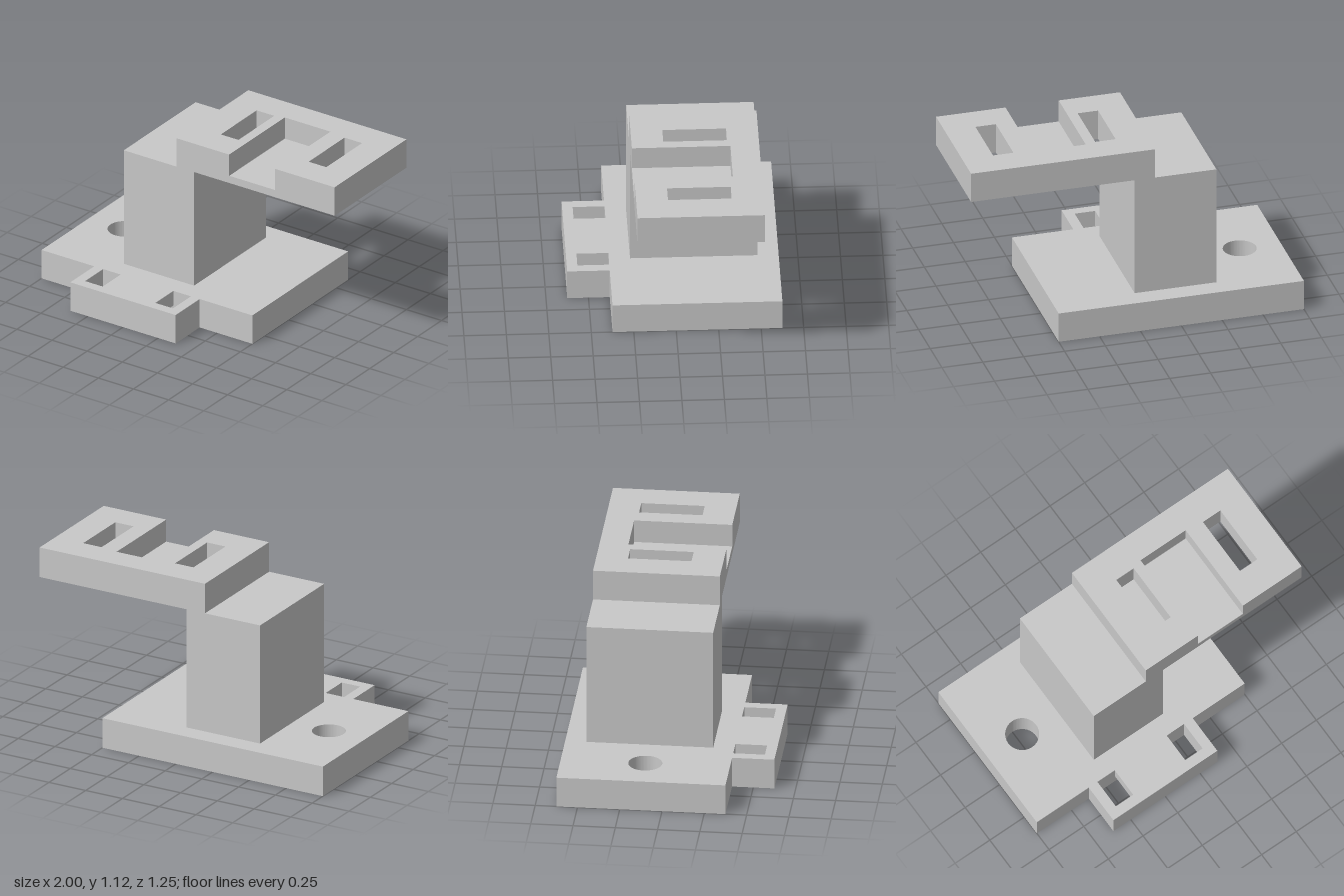
import * as THREE from 'three';
import { toCreasedNormals } from 'three/addons/utils/BufferGeometryUtils.js';

const grey = new THREE.MeshStandardMaterial({ color: 0xc8c8c8 });
grey.name = 'light grey';

// Corner points of a rectangle in plan, counter-clockwise seen from above
const rect = (x0, x1, z0, z1) => [[x0, z0], [x0, z1], [x1, z1], [x1, z0]];
const toPoints = (list) => list.map(([x, z]) => new THREE.Vector2(x, -z));

// Vertical extrusion of a plan outline, with through holes
function slab(name, outline, y0, y1, holes = []) {
  const shape = new THREE.Shape(toPoints(outline));
  shape.holes = holes;
  const geo = new THREE.ExtrudeGeometry(shape, { depth: y1 - y0, bevelEnabled: false, curveSegments: 48 });
  geo.rotateX(-Math.PI / 2).translate(0, y0, 0);
  const mesh = new THREE.Mesh(toCreasedNormals(geo, 0.5), grey);
  mesh.name = name;
  return mesh;
}

const slot = (...r) => new THREE.Path(toPoints(rect(...r)));

export function createModel() {
  const model = new THREE.Group();
  model.name = 'steppedBracket';
  const baseTop = 0.1875, armBottom = 0.9375, armTop = 1.125, notchFloor = 0.985;

  // Base plate with a round bolt hole
  const bolt = new THREE.Path().absarc(-0.75, 0.125, 0.1, 0, Math.PI * 2, false);
  model.add(slab('basePlate', rect(-1, 0.5, -0.625, 0.375), 0, baseTop, [bolt]));

  // Front tab: U-shaped rim, and a raised bridge that leaves two slots and a groove below
  model.add(slab('tabRim', [
    [-0.625, 0.375], [-0.625, 0.625], [0.125, 0.625], [0.125, 0.375],
    [0.0625, 0.375], [0.0625, 0.5625], [-0.5625, 0.5625], [-0.5625, 0.375],
  ], 0, baseTop));
  model.add(slab('tabBridge', rect(-0.4375, -0.0625, 0.375, 0.5625), 0.09, baseTop));

  // Upright block
  model.add(slab('column', rect(-0.5, 0, -0.5, 0.25), baseTop, armBottom));

  // Overhanging arm: slotted floor, then a slotted layer notched from the front
  const armSlots = () => [slot(0.0625, 0.1875, -0.3125, 0.0625), slot(0.6875, 0.8125, -0.3125, 0.0625)];
  const arm = new THREE.Group();
  arm.name = 'arm';
  arm.add(slab('armFloor', rect(-0.125, 1, -0.5, 0.25), armBottom, notchFloor, armSlots()));
  arm.add(slab('armNotchedTop', [
    [-0.125, -0.5], [-0.125, 0.25], [0.25, 0.25], [0.25, -0.33],
    [0.575, -0.33], [0.575, 0.25], [1, 0.25], [1, -0.5],
  ], notchFloor, armTop, armSlots()));
  model.add(arm);

  return model;
}
